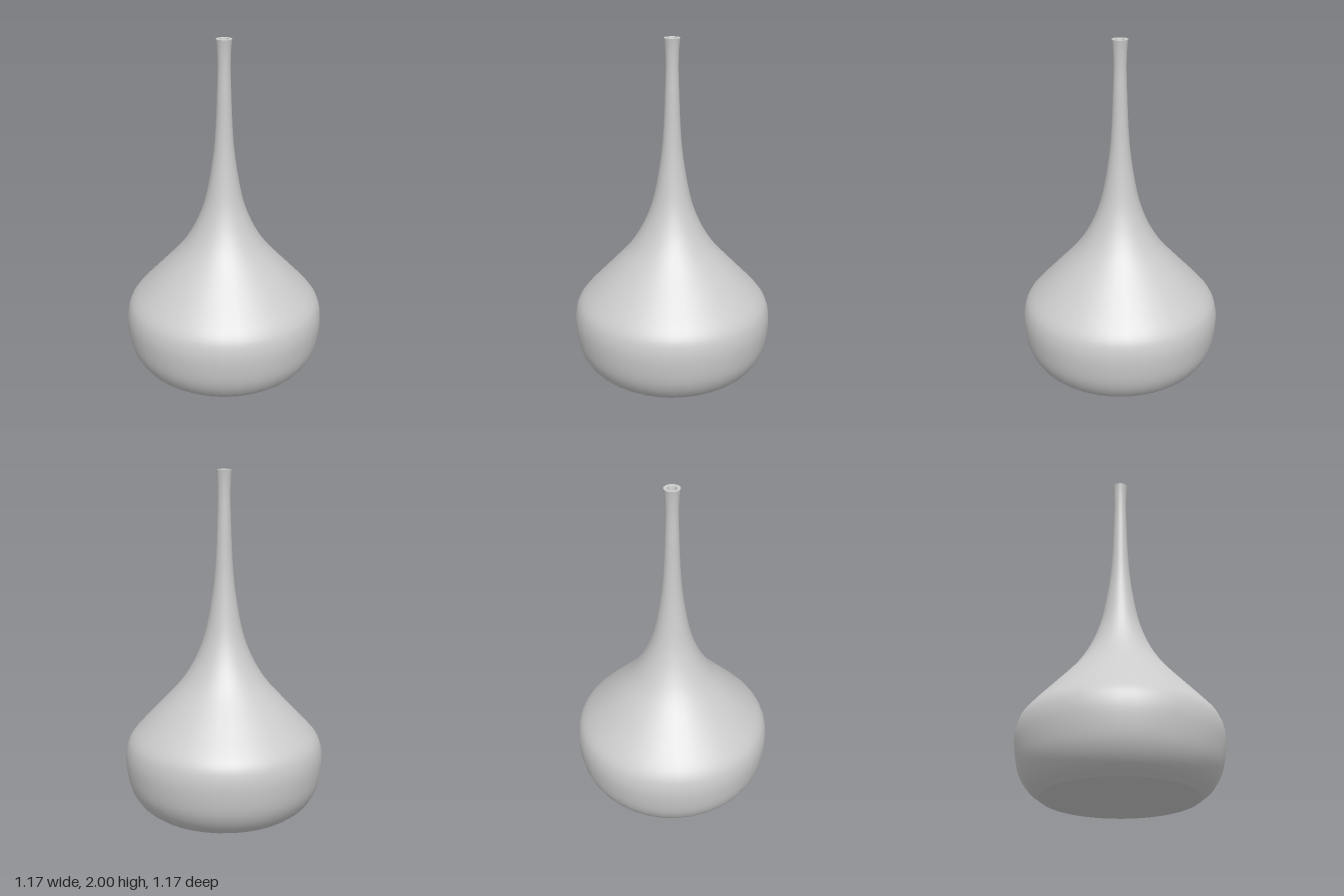
import * as THREE from 'three';

const SIDES = 36;

export function createModel() {
  const group = new THREE.Group();
  group.name = 'vase';
  const material = new THREE.MeshStandardMaterial({ color: 0xcccccc });

  const addLathe = (name, points) => {
    const geometry = new THREE.LatheGeometry(points, SIDES);
    const mesh = new THREE.Mesh(geometry, material);
    mesh.name = name;
    group.add(mesh);
  };
  const toPoints = (pairs) => pairs.map(([r, y]) => new THREE.Vector2(r, y));

  // Bulbous body flowing into the long neck, from foot to lip
  const profile = toPoints([
    [0.44, 0], [0.505, 0.05], [0.55, 0.12], [0.574, 0.2], [0.585, 0.31],
    [0.575, 0.39], [0.55, 0.445], [0.5, 0.505], [0.4, 0.61], [0.27, 0.75],
    [0.2, 0.85], [0.15, 0.95], [0.112, 1.06], [0.083, 1.2], [0.06, 1.36],
    [0.048, 1.52], [0.041, 1.7], [0.037, 1.84], [0.04, 1.94], [0.046, 2],
  ]);
  addLathe('body', new THREE.SplineCurve(profile).getPoints(57));

  // Flat underside
  addLathe('base', toPoints([[0, 0], [0.44, 0]]));

  // Lip, mouth wall and the floor of the mouth
  addLathe('lip', toPoints([[0.046, 2], [0.028, 2]]));
  addLathe('mouthWall', toPoints([[0.028, 2], [0.024, 1.985], [0.02, 1.95]]));
  addLathe('mouthFloor', toPoints([[0.02, 1.95], [0, 1.95]]));

  return group;
}
